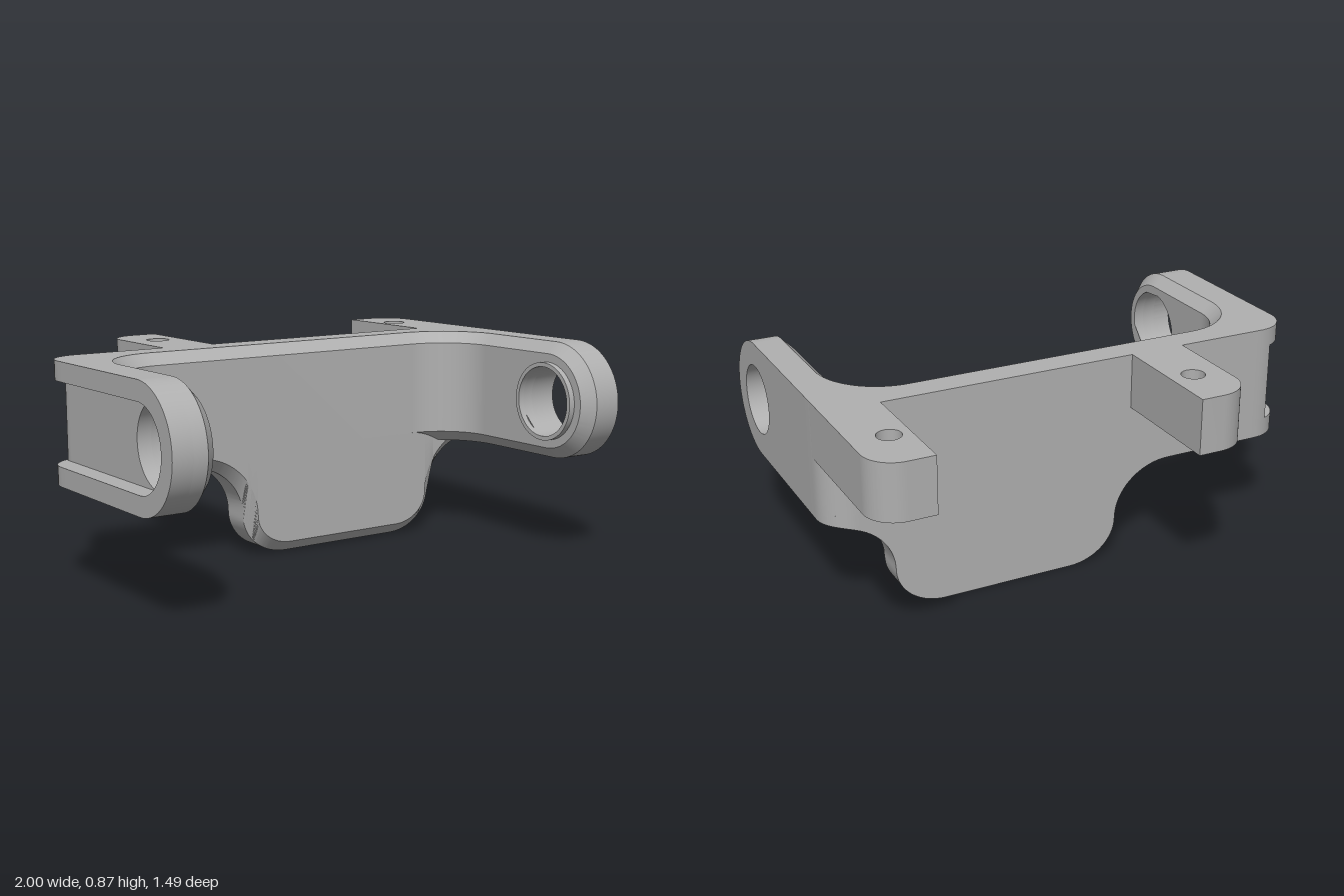
import * as THREE from 'three';
import { toCreasedNormals } from 'three/addons/utils/BufferGeometryUtils.js';

const TOP = 0.859, BOT = 0.388, D = 0.045;           // wall height and chamfer size
const HZ = 0.51, HY = (TOP + BOT) / 2, TIP = (TOP - BOT) / 2; // pivot hole axis, tip radius
const ARM_Z = 0.13, BACK = -0.25, SLOT_X = -0.92, SLOT_R = 0.16, HOLE_R = 0.14;

// Joins closed cross-sections (arrays of [x, y, z]) into a skin, optionally closing the ends
function loft(sections) {
  const pos = [];
  const n = sections[0].length;
  for (let i = 0; i < sections.length - 1; i++) {
    const A = sections[i], B = sections[i + 1];
    for (let j = 0; j < n; j++) {
      const k = (j + 1) % n;
      pos.push(...A[j], ...A[k], ...B[k], ...A[j], ...B[k], ...B[j]);
    }
  }
  const g = new THREE.BufferGeometry();
  g.setAttribute('position', new THREE.Float32BufferAttribute(pos, 3));
  return toCreasedNormals(g, 0.5);
}

// One station of the U-shaped wall on a ray leaving the inner corner centre
function wallSection(cx, side, phi, backR) {
  const dx = side * Math.cos(phi), dz = -Math.sin(phi);
  const at = (t) => [cx + dx * t, ARM_Z + dz * t];
  const inside = ([x, z]) => {
    const ax = Math.abs(x) - (1 - backR), az = BACK + backR - z;
    return ax < backR && az < backR && !(ax > 0 && az > 0 && Math.hypot(ax, az) > backR);
  };
  let lo = 0.2, hi = 1;
  for (let i = 0; i < 40; i++) {
    const mid = (lo + hi) / 2;
    if (inside(at(mid))) lo = mid; else hi = mid;
  }
  const rIn = Math.abs(side * (side < 0 ? 0.82 : 0.84) - cx);
  const O = at(lo), C = at(rIn + D), I = at(rIn);
  // floor of the side slot, which runs out through the rounded back corner
  const N = side < 0 && O[0] < SLOT_X ? at((SLOT_X - cx) / dx) : O;
  const p = ([x, z], y) => [x, y, z];
  return [p(O, TOP), p(C, TOP), p(I, TOP - D), p(I, BOT + D), p(C, BOT), p(O, BOT),
    p(O, HY - SLOT_R), p(N, HY - SLOT_R), p(N, HY + SLOT_R), p(O, HY + SLOT_R)];
}

function wallGeometry() {
  const sections = [], N = 36;
  for (let i = 0; i <= N; i++) sections.push(wallSection(-0.6, -1, (i / N) * Math.PI / 2, 0.14));
  for (let i = N; i >= 0; i--) sections.push(wallSection(0.62, 1, (i / N) * Math.PI / 2, 0.12));
  return loft(sections);
}

// Lower S-shaped edge of the apron; d is the inward offset for the chamfer
function apronEdge(x, d) {
  const u = Math.abs(x - 0.27);
  const arc = (q) => Math.sqrt(Math.max(0, 1 - q * q));
  if (u < 0.27) return d;
  if (u < 0.47 - d) return 0.17 - (0.17 - d) * arc((u - 0.27) / (0.2 - d));
  if (u < 0.71) return 0.17 + (0.218 + d) * arc((0.71 - u) / (0.24 + d));
  return BOT + d;
}

function apronGeometry() {
  const us = [0];
  for (let i = 0; i <= 24; i++) {
    const s = Math.sin((i / 24) * Math.PI / 2);
    us.push(0.27 + 0.2 * s, 0.27 + (0.2 - D) * s, 0.71 - 0.24 * s, 0.71 - (0.24 + D) * s);
  }
  us.sort((a, b) => a - b);
  const xs = [...us.map((u) => 0.27 - u).reverse(), ...us.map((u) => 0.27 + u)]
    .filter((x, i, a) => i === 0 || x - a[i - 1] > 1e-5);
  return loft(xs.map((x) => {
    const back = x > 0.88 ? BACK + 0.12 - Math.sqrt(Math.max(0, 0.0144 - (x - 0.88) ** 2)) : BACK;
    const top = BOT + D;
    return [[x, top, back], [x, top, -0.09], [x, apronEdge(x, D), -0.09],
      [x, apronEdge(x, 0), -0.09 - D], [x, apronEdge(x, 0), back]];
  }));
}

// Arm outline in (-z, y), either with a round hole or with a slot open at the root
function armShape(holeR, slotted) {
  const s = new THREE.Shape();
  s.moveTo(-ARM_Z, BOT);
  s.lineTo(-ARM_Z, slotted ? HY - holeR : TOP);
  if (slotted) {
    s.lineTo(-HZ, HY - holeR);
    s.absarc(-HZ, HY, holeR, -Math.PI / 2, Math.PI / 2, true);
    s.lineTo(-ARM_Z, HY + holeR);
    s.lineTo(-ARM_Z, TOP);
  } else {
    s.holes.push(new THREE.Path().absarc(-HZ, HY, holeR, 0, Math.PI * 2, true));
  }
  s.lineTo(-HZ, TOP);
  s.absarc(-HZ, HY, TIP, Math.PI / 2, Math.PI * 1.5, false);
  return s;
}

// Extrudes a (-z, y) shape from x0 to x1; the outline shrinks by the chamfer at taperX
function slab(shape, x0, x1, taperX) {
  const g = new THREE.ExtrudeGeometry(shape, { depth: x1 - x0, bevelEnabled: false, curveSegments: 32 });
  g.rotateY(Math.PI / 2).translate(x0, 0, 0);
  if (taperX !== undefined) {
    const p = g.attributes.position;
    for (let i = 0; i < p.count; i++) {
      if (Math.abs(p.getX(i) - taperX) > 1e-4) continue;
      const z = Math.max(p.getZ(i) - HZ, 0), y = p.getY(i) - HY, r = Math.hypot(z, y);
      if (r < 0.2) continue;
      const k = (r - D) / r;
      p.setY(i, HY + y * k);
      if (z > 0) p.setZ(i, HZ + z * k);
    }
  }
  return toCreasedNormals(g, 0.5);
}

// Flat mounting tab with one rounded back corner and a screw hole
function tabGeometry(x0, x1, front, roundSide, r, holeX) {
  const end = 0.745, s = new THREE.Shape();
  s.moveTo(x0, -front);
  s.lineTo(x1, -front);
  if (roundSide > 0) {
    s.lineTo(x1, end - r);
    s.absarc(x1 - r, end - r, r, 0, Math.PI / 2, false);
    s.lineTo(x0, end);
  } else {
    s.lineTo(x1, end);
    s.lineTo(x0 + r, end);
    s.absarc(x0 + r, end - r, r, Math.PI / 2, Math.PI, false);
  }
  s.holes.push(new THREE.Path().absarc(holeX, 0.525, 0.046, 0, Math.PI * 2, true));
  const g = new THREE.ExtrudeGeometry(s, { depth: TOP - 0.638, bevelEnabled: false, curveSegments: 20 });
  g.rotateX(-Math.PI / 2).translate(0, 0.638, 0);
  return toCreasedNormals(g, 0.5);
}

export function createModel() {
  const model = new THREE.Group();
  model.name = 'bracket';
  const grey = new THREE.MeshStandardMaterial({ color: 0xb0b0b0 });
  grey.name = 'plain grey';
  const add = (name, geometry, parent = model) => {
    const mesh = new THREE.Mesh(geometry, grey);
    mesh.name = name;
    parent.add(mesh);
  };

  add('wall', wallGeometry());
  add('apron', apronGeometry());

  // arm at -x: slotted outside layer, holed core, chamfered inside layer
  const slotArm = new THREE.Group();
  slotArm.name = 'slottedArm';
  add('slotLayer', slab(armShape(SLOT_R, true), -1, SLOT_X), slotArm);
  add('core', slab(armShape(SLOT_R, false), SLOT_X, -0.82 - D), slotArm);
  add('innerChamfer', slab(armShape(SLOT_R, false), -0.82 - D, -0.82, -0.82), slotArm);

  // arm at +x: plain hole with a raised ring inside
  const plainArm = new THREE.Group();
  plainArm.name = 'plainArm';
  add('core', slab(armShape(HOLE_R, false), 0.84 + D, 1), plainArm);
  add('innerChamfer', slab(armShape(HOLE_R, false), 0.84, 0.84 + D, 0.84), plainArm);
  const ring = new THREE.Shape().absarc(-HZ, HY, 0.157, 0, Math.PI * 2, false);
  ring.holes.push(new THREE.Path().absarc(-HZ, HY, HOLE_R, 0, Math.PI * 2, true));
  add('boss', slab(ring, 0.815, 0.84), plainArm);
  model.add(slotArm, plainArm);

  add('rightTab', tabGeometry(-0.485, -0.26, -0.24, -1, 0.13, -0.36));
  add('leftTab', tabGeometry(0.775, 1, -0.13, 1, 0.12, 0.855));

  // the part leans very slightly back
  model.rotation.x = -0.012;
  model.position.y = 0.003;
  return model;
}
